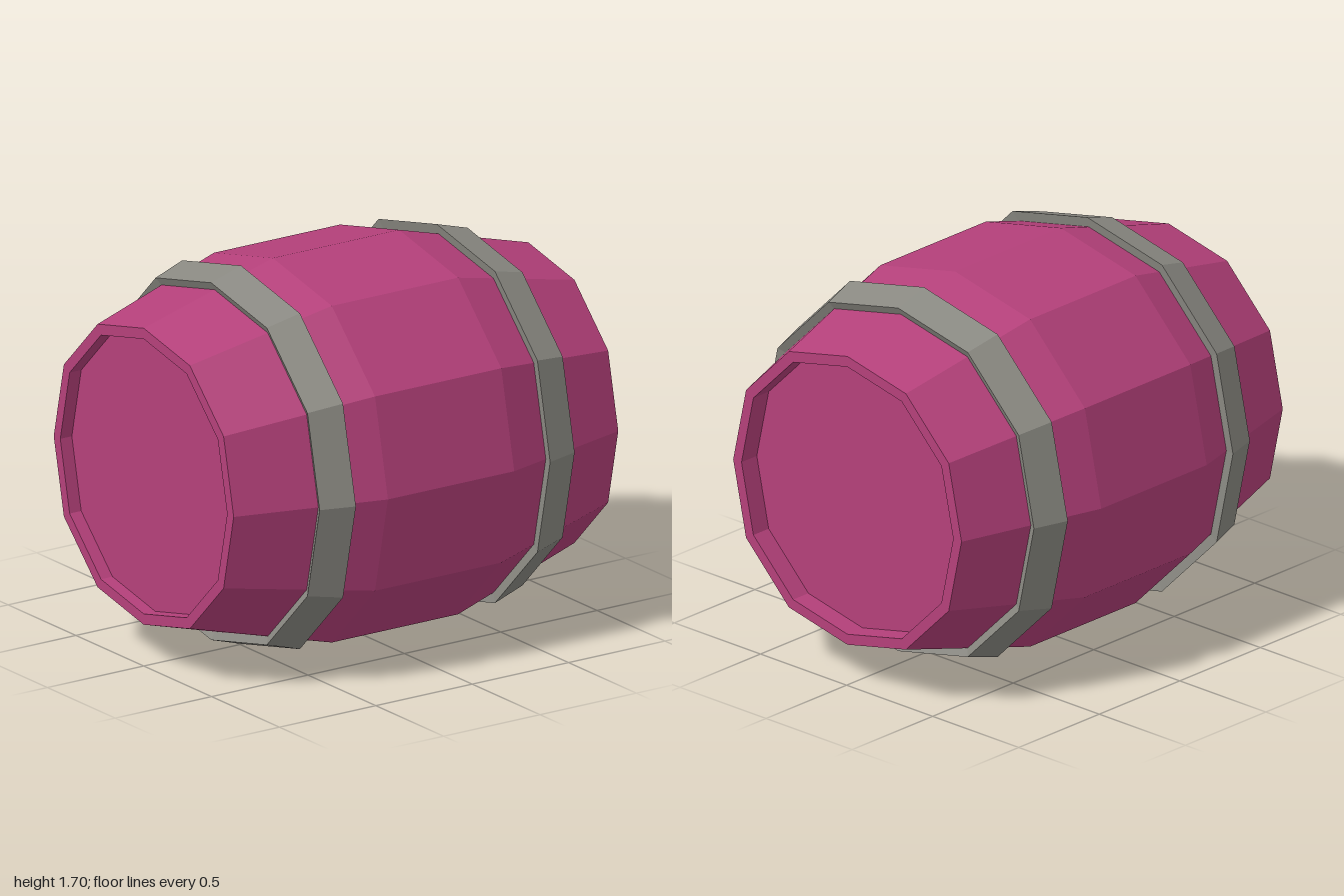
import * as THREE from 'three';

const SIDES = 12;
const CENTRE_Y = 0.848;

// Twelve-sided solid of revolution along z; profile points are [radius, z], back to front.
function ring(name, profile, material) {
  const geometry = new THREE.LatheGeometry(
    profile.map(([r, z]) => new THREE.Vector2(r, z)), SIDES);
  // The off-axis corners sit slightly further out than the four on the axes.
  const p = geometry.attributes.position;
  for (let i = 0; i < p.count; i++) {
    const step = Math.floor(i / profile.length);
    const k = step % 3 === 0 ? 1 : 1.025;
    p.setX(i, p.getX(i) * k);
    p.setZ(i, p.getZ(i) * k);
  }
  geometry.rotateX(Math.PI / 2);
  geometry.computeVertexNormals();
  const mesh = new THREE.Mesh(geometry, material);
  mesh.name = name;
  mesh.position.y = CENTRE_Y;
  return mesh;
}

export function createModel() {
  const stain = new THREE.MeshStandardMaterial({ color: 0xb4407a, flatShading: true });
  stain.name = 'magenta wood';
  const iron = new THREE.MeshStandardMaterial({ color: 0x8a8982, flatShading: true });
  iron.name = 'grey iron';

  const barrel = new THREE.Group();
  barrel.name = 'barrel';

  // Staves and rims
  barrel.add(ring('staves', [
    [0.615, -0.9], [0.615, -0.995], [0.663, -0.995], [0.848, -0.325],
    [0.848, 0.33], [0.663, 1], [0.615, 1], [0.615, 0.94],
  ], stain));

  // Recessed heads
  barrel.add(ring('backHead', [[0, -0.9], [0.615, -0.9]], stain));
  barrel.add(ring('frontHead', [[0.615, 0.94], [0, 0.94]], stain));

  // Hoops, flaring towards the middle
  barrel.add(ring('frontHoop', [
    [0.79, 0.505], [0.846, 0.495], [0.799, 0.65], [0.76, 0.63],
  ], iron));
  barrel.add(ring('backHoop', [
    [0.75, -0.66], [0.789, -0.68], [0.836, -0.52], [0.785, -0.53],
  ], iron));

  return barrel;
}
